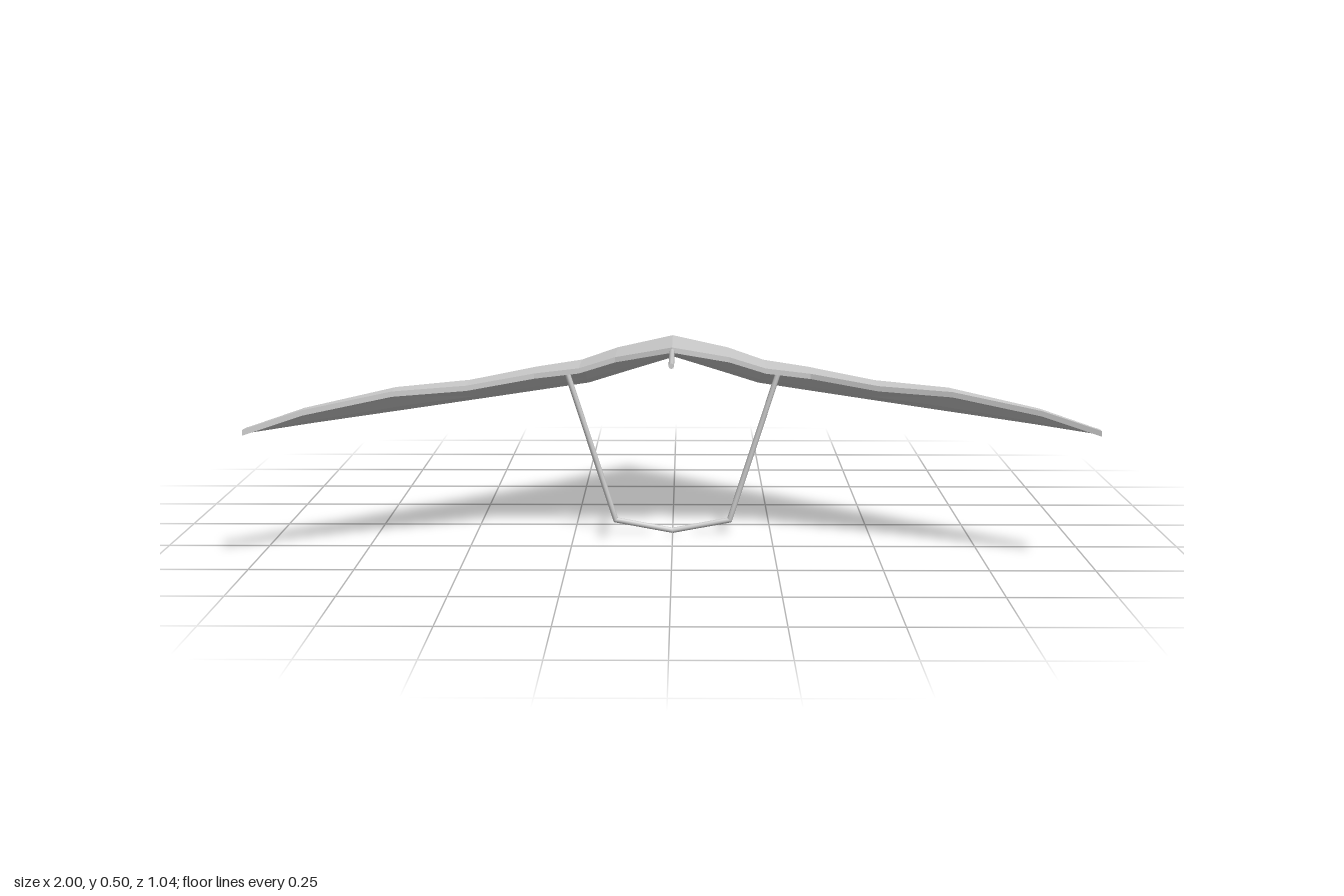
import * as THREE from 'three';

// Half-span stations: x, leading z, leading y, trailing z, trailing y
const stations = [
  [0, -0.52, 0.385, 0.265, 0.5],
  [0.14, -0.38, 0.361, 0.226, 0.471],
  [0.23, -0.29, 0.345, 0.225, 0.443],
  [0.34, -0.185, 0.343, 0.225, 0.43],
  [0.5, -0.028, 0.341, 0.295, 0.41],
  [0.67, 0.138, 0.339, 0.37, 0.407],
  [0.87, 0.333, 0.337, 0.455, 0.375],
  [1, 0.46, 0.335, 0.51, 0.337],
];

// Chordwise camber: fraction of chord, fraction of rise
const camber = [[0, 0], [0.217, 0.26], [0.433, 0.71], [0.688, 1], [1, 1]];
const THICK = 0.013;

// Thin closed sail lofted across the span
function sailGeometry() {
  const left = stations.slice(1).reverse().map(([x, ...rest]) => [-x, ...rest]);
  const span = [...left, ...stations];
  const n = camber.length, ring = n * 2;
  const pos = [], idx = [];
  for (const [x, z0, y0, z1, y1] of span) {
    const top = camber.map(([s, h]) => [x, y0 + (y1 - y0) * h, z0 + (z1 - z0) * s]);
    const under = top.map(([px, y, z]) => [px, y - THICK, z]).reverse();
    pos.push(...top.flat(), ...under.flat());
  }
  for (let i = 0; i < span.length - 1; i++) {
    for (let j = 0; j < ring; j++) {
      const a = i * ring + j, b = i * ring + (j + 1) % ring;
      const c = b + ring, d = a + ring;
      // Diagonals mirror about the keel
      if (i < left.length) idx.push(a, b, c, a, c, d);
      else idx.push(a, b, d, b, c, d);
    }
  }
  // Wing tip caps
  const last = (span.length - 1) * ring;
  for (let j = 0; j < n - 1; j++) {
    const k = ring - 1 - j;
    idx.push(j, k, j + 1, j + 1, k, k - 1);
    idx.push(last + j, last + j + 1, last + k, last + j + 1, last + k - 1, last + k);
  }
  const g = new THREE.BufferGeometry();
  g.setAttribute('position', new THREE.Float32BufferAttribute(pos, 3));
  g.setIndex(idx);
  const flat = g.toNonIndexed();
  flat.computeVertexNormals();
  return flat;
}

// Straight tube between two points
function bar(name, from, to, radius, material) {
  const a = new THREE.Vector3(...from), b = new THREE.Vector3(...to);
  const dir = b.clone().sub(a);
  const mesh = new THREE.Mesh(new THREE.CylinderGeometry(radius, radius, dir.length(), 8), material);
  mesh.position.copy(a).add(b).multiplyScalar(0.5);
  mesh.quaternion.setFromUnitVectors(new THREE.Vector3(0, 1, 0), dir.normalize());
  mesh.name = name;
  return mesh;
}

export function createModel() {
  const group = new THREE.Group();
  group.name = 'hangGlider';
  const cloth = new THREE.MeshStandardMaterial({ color: 0xcccccc, flatShading: true, side: THREE.DoubleSide });
  const metal = new THREE.MeshStandardMaterial({ color: 0xcccccc });

  const sail = new THREE.Mesh(sailGeometry(), cloth);
  sail.name = 'sail';
  group.add(sail);

  // Keel tube projecting behind the sail
  group.add(bar('keelTube', [0, 0.49, 0.15], [0, 0.49, 0.525], 0.0065, metal));

  // Control frame hanging below the sail
  const frame = new THREE.Group();
  frame.name = 'controlFrame';
  const r = 0.007;
  for (const [side, s] of [['left', 1], ['right', -1]]) {
    frame.add(bar(side + 'Upright', [s * 0.268, 0.42, 0.1], [s * 0.145, 0.035, 0.1], r, metal));
    frame.add(bar(side + 'BaseBar', [s * 0.145, 0.035, 0.1], [0, 0.008, 0.1], r, metal));
    const corner = new THREE.Mesh(new THREE.SphereGeometry(r, 8, 6), metal);
    corner.position.set(s * 0.145, 0.035, 0.1);
    corner.name = side + 'Corner';
    frame.add(corner);
  }
  group.add(frame);
  return group;
}
